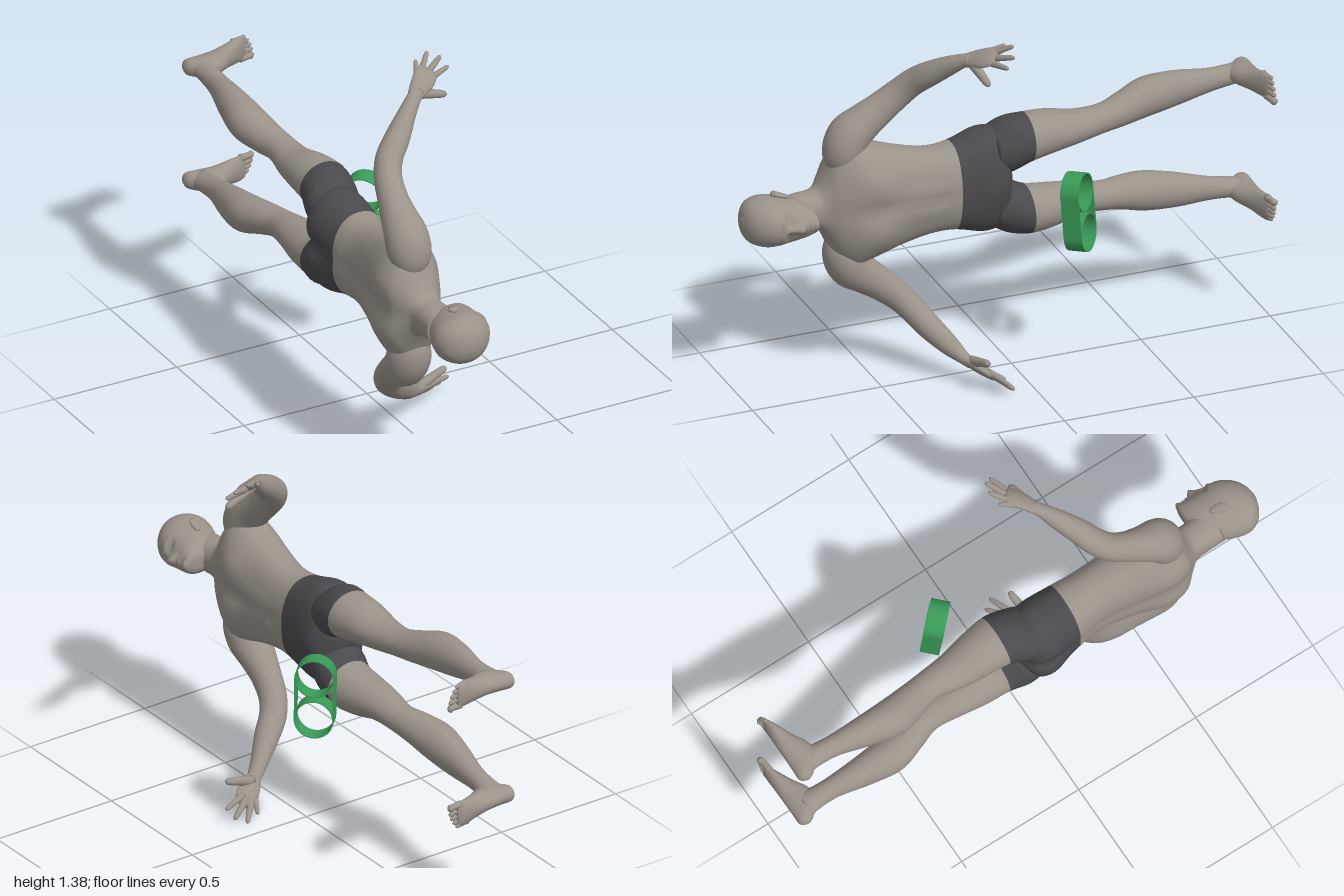
import * as THREE from 'three';

const MID = 0.687; // height of the body's plane of symmetry
const V3 = (a) => new THREE.Vector3(...a);
const skin = new THREE.MeshStandardMaterial({ color: 0x9a938a });
skin.name = 'skin';
const cloth = new THREE.MeshStandardMaterial({ color: 0x4a494d });
cloth.name = 'shorts cloth';
const green = new THREE.MeshStandardMaterial({ color: 0x3a9c58 });
green.name = 'green band';

// Smooth closed loft through sections [x, y, z, radiusU, radiusV].
// axes: two fixed ring axes, or one reference vector for rings that follow the path.
function loft(name, secs, axes, { mats = [skin], split = 0, seg = 28, steps = 5, power = 2, bumps = [] } = {}) {
  const path = new THREE.CatmullRomCurve3(secs.map((s) => V3(s)), false, 'catmullrom', 0.5);
  const size = new THREE.CatmullRomCurve3(secs.map((s) => new THREE.Vector3(s[3], s[4], 0)), false, 'catmullrom', 0.5);
  const rings = (secs.length - 1) * steps;
  const pos = [], idx = [];
  for (let i = 0; i <= rings; i++) {
    const c = path.getPoint(i / rings), r = size.getPoint(i / rings);
    let [U, V] = axes;
    if (!V) {
      const T = path.getTangent(i / rings);
      V = T.clone().cross(axes[0]).normalize();
      U = V.clone().cross(T).normalize();
    }
    for (let j = 0; j < seg; j++) {
      const a = (j / seg) * Math.PI * 2, ca = Math.cos(a), sa = Math.sin(a);
      const u = Math.sign(ca) * Math.abs(ca) ** (2 / power), v = Math.sign(sa) * Math.abs(sa) ** (2 / power);
      const p = c.clone().addScaledVector(U, u * r.x).addScaledVector(V, v * r.y);
      const dy = Math.abs(p.y - MID);
      // soft muscle and face forms: [side, offset, z, spreadY, spreadZ, height]
      for (const [side, oy, z, sy, sz, h] of bumps) {
        const w = THREE.MathUtils.clamp(side * ca * 2, 0, 1);
        p.x += side * h * w * Math.exp(-(((dy - oy) / sy) ** 2) - ((p.z - z) / sz) ** 2);
      }
      pos.push(p.x, p.y, p.z);
    }
  }
  const quad = (i, j) => {
    const a = i * seg + j, b = i * seg + ((j + 1) % seg);
    idx.push(a, b, a + seg, b, b + seg, a + seg);
  };
  const n = pos.length / 3;
  pos.push(...path.getPoint(0).toArray(), ...path.getPoint(1).toArray());
  for (let j = 0; j < seg; j++) idx.push(n, (j + 1) % seg, j);
  for (let i = 0; i < rings; i++) for (let j = 0; j < seg; j++) quad(i, j);
  for (let j = 0; j < seg; j++) idx.push(n + 1, rings * seg + j, rings * seg + ((j + 1) % seg));
  // turn all faces outward, whichever way the path runs
  let vol = 0;
  const P = (k) => new THREE.Vector3(pos[3 * k], pos[3 * k + 1], pos[3 * k + 2]);
  const o = P(n);
  for (let k = 0; k < idx.length; k += 3)
    vol += P(idx[k]).sub(o).dot(P(idx[k + 1]).sub(o).cross(P(idx[k + 2]).sub(o)));
  if (vol < 0) for (let k = 0; k < idx.length; k += 3) [idx[k], idx[k + 1]] = [idx[k + 1], idx[k]];
  const g = new THREE.BufferGeometry();
  g.setAttribute('position', new THREE.Float32BufferAttribute(pos, 3));
  g.setIndex(idx);
  g.computeVertexNormals();
  if (split) {
    const cut = seg * 3 + split * steps * seg * 6;
    g.addGroup(0, cut, 0);
    g.addGroup(cut, idx.length - cut, 1);
  }
  const m = new THREE.Mesh(g, split ? mats : mats[0]);
  m.name = name;
  return m;
}

const X = V3([1, 0, 0]), Y = V3([0, 1, 0]), Z = V3([0, 0, 1]);
// section across the body from front x, back x, z, near and far offsets from the mid plane
const slice = (s, f, b, z, y0, y1) => [(f + b) / 2, MID + s * (y0 + y1) / 2, z, (f - b) / 2, (y1 - y0) / 2];

function torso() {
  const rows = [
    [-0.1, -0.18, -0.045, 0.03], [-0.04, -0.235, -0.01, 0.17], [-0.02, -0.25, 0.06, 0.2], [-0.018, -0.24, 0.18, 0.168],
    [-0.024, -0.225, 0.28, 0.167], [-0.022, -0.24, 0.4, 0.195], [-0.02, -0.255, 0.5, 0.23], [-0.025, -0.258, 0.57, 0.245],
    [-0.045, -0.25, 0.63, 0.2], [-0.068, -0.225, 0.67, 0.12], [-0.076, -0.204, 0.705, 0.073], [-0.068, -0.2, 0.77, 0.066], [-0.06, -0.2, 0.82, 0.06],
  ];
  return loft('torso and shorts seat', rows.map(([f, b, z, w]) => slice(1, f, b, z, -w, w)), [X, Y], {
    mats: [cloth, skin], split: 3, seg: 56, power: 2.3,
    bumps: [
      [1, 0.1, 0.5, 0.075, 0.075, 0.02], [1, 0, 0.5, 0.02, 0.1, -0.008], [1, 0.04, 0.32, 0.03, 0.1, 0.006],
      [1, 0, 0.25, 0.012, 0.015, -0.008], [1, 0, 0.03, 0.05, 0.05, 0.01],
      [-1, 0.1, 0.05, 0.075, 0.07, 0.02], [-1, 0, 0.03, 0.02, 0.08, -0.025],
      [-1, 0.1, 0.57, 0.06, 0.1, 0.018], [-1, 0, 0.42, 0.025, 0.2, -0.012],
    ],
  });
}

function head() {
  const rows = [
    [-0.02, -0.085, 0.737, 0.022], [0, -0.11, 0.745, 0.04], [0, -0.15, 0.765, 0.058], [0, -0.178, 0.79, 0.07],
    [0, -0.2, 0.83, 0.08], [0.004, -0.218, 0.88, 0.088], [-0.004, -0.222, 0.92, 0.09], [-0.03, -0.205, 0.96, 0.078],
    [-0.063, -0.172, 0.985, 0.054], [-0.1, -0.135, 0.999, 0.018],
  ];
  return loft('head', rows.map(([f, b, z, w]) => slice(1, f, b, z, -w, w)), [X, Y], {
    seg: 80, steps: 9, power: 2.1,
    bumps: [
      [1, 0, 0.813, 0.014, 0.016, 0.026], [1, 0, 0.84, 0.01, 0.022, 0.012], [1, 0.016, 0.806, 0.009, 0.01, 0.008],
      [1, 0.034, 0.853, 0.019, 0.012, -0.014], [1, 0.034, 0.853, 0.01, 0.006, 0.006],
      [1, 0.03, 0.875, 0.03, 0.009, 0.006], [1, 0, 0.785, 0.022, 0.006, 0.007], [1, 0, 0.773, 0.02, 0.006, 0.006],
      [1, 0, 0.779, 0.025, 0.003, -0.005], [1, 0, 0.75, 0.02, 0.012, 0.008],
    ],
  });
}

function ear(s) {
  return loft('ear', [
    [-0.108, MID + s * 0.08, 0.818, 0.006, 0.006], [-0.11, MID + s * 0.084, 0.828, 0.013, 0.008],
    [-0.117, MID + s * 0.09, 0.85, 0.02, 0.009], [-0.122, MID + s * 0.095, 0.867, 0.02, 0.009],
    [-0.122, MID + s * 0.094, 0.879, 0.009, 0.006],
  ], [X, Y], { seg: 16 });
}

function leg(s) {
  const rows = [
    [-0.04, -0.235, 0.03, 0.03, 0.19], [-0.025, -0.236, -0.03, 0.02, 0.222], [-0.02, -0.215, -0.105, 0.052, 0.233],
    [-0.036, -0.21, -0.2, 0.068, 0.226], [-0.058, -0.2, -0.3, 0.082, 0.204], [-0.074, -0.188, -0.4, 0.1, 0.208],
    [-0.086, -0.213, -0.48, 0.104, 0.228], [-0.1, -0.24, -0.58, 0.113, 0.26], [-0.11, -0.222, -0.7, 0.137, 0.268],
    [-0.115, -0.195, -0.82, 0.17, 0.26], [-0.11, -0.193, -0.9, 0.186, 0.262], [-0.1, -0.2, -0.95, 0.195, 0.266],
  ];
  return loft('leg', rows.map((r) => slice(s, ...r)), [X, Y], { mats: [cloth, skin], split: 2, seg: 36 });
}

function foot(s) {
  const g = new THREE.Group();
  g.name = 'foot';
  const rows = [
    [-0.216, 0.23, -0.968, 0.01, 0.01], [-0.2, 0.23, -0.966, 0.03, 0.032], [-0.15, 0.232, -0.945, 0.037, 0.054],
    [-0.1, 0.235, -0.947, 0.038, 0.052], [-0.05, 0.238, -0.962, 0.043, 0.037], [0, 0.242, -0.975, 0.05, 0.024],
    [0.028, 0.242, -0.982, 0.049, 0.016], [0.04, 0.24, -0.984, 0.04, 0.01],
  ];
  g.add(loft('foot sole and arch', rows.map(([x, d, ...r]) => [x, MID + s * d, ...r]), [Y, Z]));
  // toes, big toe on the inner side
  [[0.202, 0.08, 0.014], [0.226, 0.076, 0.0095], [0.246, 0.07, 0.009], [0.265, 0.06, 0.009], [0.282, 0.047, 0.0085]].forEach(([d, x, r]) => {
    const y = MID + s * d;
    g.add(loft('toe', [[x - 0.06, y, -0.98, r, r], [x - 0.025, y, -0.983, r * 0.85, r * 0.85],
      [x - 0.01, y, -0.987, r, r], [x, y, -0.989, r * 0.4, r * 0.4]], [Y, Z], { seg: 12, steps: 4 }));
  });
  return g;
}

function arm(s) {
  const g = new THREE.Group();
  g.name = 'arm';
  const at = ([x, d, ...r]) => [x, MID + s * d, ...r];
  const rows = [
    [-0.15, 0.14, 0.585, 0.06, 0.06], [-0.15, 0.2, 0.59, 0.08, 0.075], [-0.15, 0.26, 0.565, 0.08, 0.078],
    [-0.147, 0.305, 0.51, 0.068, 0.068], [-0.14, 0.35, 0.45, 0.056, 0.06], [-0.125, 0.405, 0.385, 0.051, 0.053],
    [-0.095, 0.455, 0.34, 0.05, 0.049], [-0.04, 0.505, 0.3, 0.046, 0.046], [0.025, 0.558, 0.25, 0.034, 0.037],
    [0.075, 0.594, 0.213, 0.027, 0.023], [0.1, 0.607, 0.195, 0.026, 0.02],
  ];
  g.add(loft('upper arm and forearm', rows.map(at), [V3([0.92, -0.2 * s, 0.3])]));
  const across = V3([0.9, -0.35 * s, 0.3]).normalize();
  g.add(loft('palm', [[0.07, 0.59, 0.217, 0.024, 0.02], [0.1, 0.607, 0.193, 0.033, 0.019], [0.135, 0.622, 0.168, 0.042, 0.018],
    [0.165, 0.637, 0.143, 0.041, 0.014], [0.18, 0.643, 0.132, 0.03, 0.008]].map(at), [across]));
  // fingers from index to little, then thumb: root, tip, root radius
  [[[0.165, 0.618, 0.157], [0.266, 0.63, 0.12], 0.013], [[0.16, 0.63, 0.145], [0.25, 0.662, 0.09], 0.0135],
    [[0.143, 0.638, 0.138], [0.204, 0.685, 0.076], 0.013], [[0.125, 0.638, 0.142], [0.152, 0.668, 0.085], 0.0115],
    [[0.1, 0.597, 0.195], [0.225, 0.555, 0.178], 0.02]].forEach(([a, b, r], i) => {
    const A = V3(at(a)), B = V3(at(b));
    const secs = [[0, 1], [0.35, 0.9], [0.6, 0.8], [0.9, 0.65], [1, 0.25]].map(([t, k]) =>
      [...A.clone().lerp(B, t).toArray(), r * k, r * k]);
    g.add(loft(i < 4 ? 'finger' : 'thumb', secs, [Y], { seg: 12, steps: 3 }));
  });
  return g;
}

// Long looped band holding two round loops
function loopBand() {
  const g = new THREE.Group();
  g.name = 'double loop band';
  const R = 0.072, H = 0.078, wall = 0.004, width = 0.07;
  const stadium = (path, r) => path.absarc(0, H, r, 0, Math.PI, false).absarc(0, -H, r, Math.PI, Math.PI * 2, false).closePath();
  const add = (name, shape) => {
    const geo = new THREE.ExtrudeGeometry(shape, { depth: width, bevelEnabled: false, curveSegments: 28 });
    geo.translate(0, 0, -width / 2);
    const m = new THREE.Mesh(geo, green);
    m.name = name;
    g.add(m);
  };
  const outer = stadium(new THREE.Shape(), R);
  outer.holes.push(stadium(new THREE.Path(), R - wall));
  add('outer band', outer);
  for (const s of [1, -1]) {
    const arc = new THREE.Shape();
    const a0 = s > 0 ? Math.PI : 0;
    arc.absarc(0, s * H, R - 0.001, a0, a0 + Math.PI, false);
    arc.absarc(0, s * H, R - wall - 0.001, a0 + Math.PI, a0, true);
    add('inner loop', arc);
  }
  const d = V3([-0.72, 0, -0.69]).normalize(), up = V3([-0.06, 1, 0.06]).normalize();
  g.quaternion.setFromRotationMatrix(new THREE.Matrix4().makeBasis(d, up, d.clone().cross(up)));
  g.position.set(0.112, 0.615, -0.213);
  return g;
}

export function createModel() {
  const model = new THREE.Group();
  model.name = 'reclining figure with band';
  model.add(torso(), head(), loopBand());
  for (const s of [1, -1]) model.add(ear(s), leg(s), foot(s), arm(s));
  return model;
}
